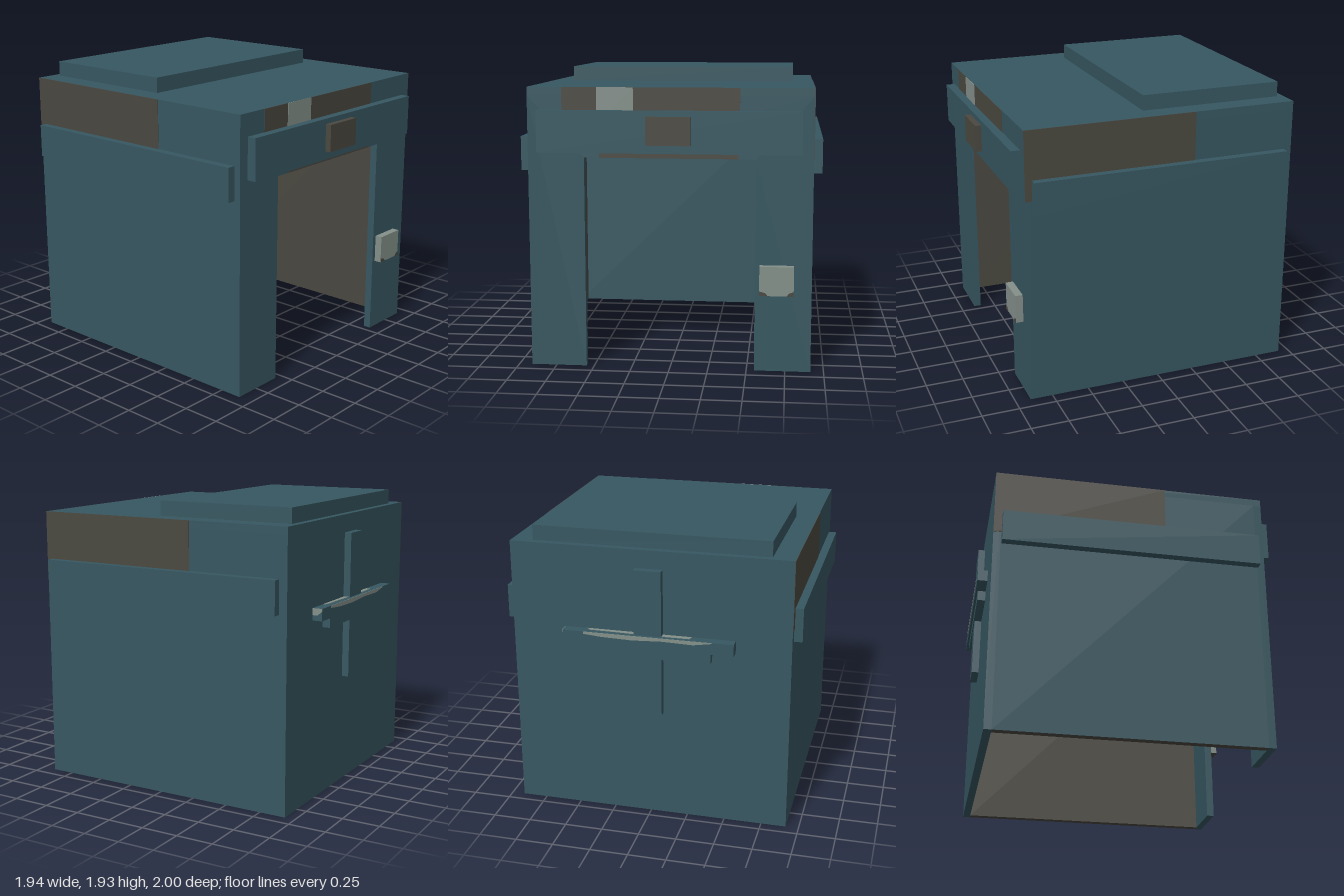
import * as THREE from 'three';

const mat = (name, color) => {
  const m = new THREE.MeshStandardMaterial({ color });
  m.name = name;
  return m;
};

export function createModel() {
  const teal = mat('teal', 0x375761);
  const brown = mat('brown', 0x4a4840);
  const pale = mat('pale grey', 0x84908a);
  const model = new THREE.Group();
  model.name = 'shelter';

  const add = (name, geometry, material, x = 0, y = 0, z = 0) => {
    const mesh = new THREE.Mesh(geometry, material);
    mesh.name = name;
    mesh.position.set(x, y, z);
    model.add(mesh);
    return mesh;
  };
  // Box given by its lower and upper limits on each axis
  const box = (name, material, [x0, x1], [y0, y1], [z0, z1]) =>
    add(name, new THREE.BoxGeometry(x1 - x0, y1 - y0, z1 - z0), material,
      (x0 + x1) / 2, (y0 + y1) / 2, (z0 + z1) / 2);
  // Flat outline pushed out along z
  const plate = (name, material, points, depth, z) =>
    add(name, new THREE.ExtrudeGeometry(
      new THREE.Shape(points.map(([x, y]) => new THREE.Vector2(x, y))),
      { depth, bevelEnabled: false }), material, 0, 0, z);

  const W = 0.915, H = 1.83, F = 0.9, B = -0.93, T = 0.05, P = 0.003;

  // Hollow shell, open below and at the doorway
  plate('frontWall', teal, [[-W, 0], [-0.55, 0], [-0.55, 1.38], [0.55, 1.38],
    [0.55, 0], [W, 0], [W, H - T], [-W, H - T]], T, F - T);
  box('backWall', teal, [-W, W], [0, H - T], [B, B + T]);
  box('roof', teal, [-W, W], [H - T, H], [B, F]);
  box('leftWall', [teal, brown, teal, brown, teal, teal], [W - T, W], [0, H - T], [B + T, F - T]);
  box('rightWall', [brown, teal, teal, brown, teal, teal], [-W, T - W], [0, H - T], [B + T, F - T]);
  box('roofSlab', teal, [-0.77, 0.775], [H, 1.93], [-0.885, 0.07]);

  // Painted bands under the roof
  box('leftBand', brown, [W, W + P], [1.375, H], [-0.235, F]);
  box('rightBand', brown, [-W - P, -W], [1.375, H], [B, 0.22]);
  plate('frontBand', brown, [[-0.45, 1.38], [0.44, 1.38], [0.45, H], [-0.69, H],
    [-0.69, 1.6], [-0.45, 1.6]], P, F);
  box('frontBandPatch', pale, [-0.465, -0.23], [1.6, H], [F, F + 2 * P]);

  // Rails round the front and sides
  for (const s of [-1, 1]) {
    const x = [s * W, s * 0.97].sort((a, b) => a - b);
    box(s > 0 ? 'leftRail' : 'rightRail', teal, x, [1.29, 1.51], [-0.875, 0.855]);
  }
  box('frontRail', teal, [-0.845, 0.84], [1.415, 1.685], [F, 0.96]);
  box('frontBadge', brown, [-0.14, 0.14], [1.47, 1.65], [0.96, 1]);

  // Box beside the doorway with dark lower corners
  box('doorBox', [pale, pale, pale, brown, pale, pale], [0.58, 0.8], [0.51, 0.7], [F, 0.95]);
  for (const [x, s, r] of [[0.58, 1, 0.055], [0.8, -1, 0.045]]) {
    const pts = [[x, 0.51], [x + s * r, 0.51], [x + s * r * 0.65, 0.53], [x, 0.54]];
    plate('doorBoxCorner', brown, pts, P, 0.95);
  }

  // Cross-shaped fitting on the back
  box('backPost', teal, [-0.09, 0.09], [0.735, 1.71], [-0.977, B]);
  box('backShelf', teal, [-0.56, 0.56], [1.2, 1.28], [-0.997, B]);
  box('backLowerBar', teal, [-0.41, 0.41], [1.13, 1.2], [-0.983, B]);

  // Worn paint on the shelf: top, back edge and left end
  const top = plate('shelfTopWear', pale, [[-0.28, 0.935], [0.41, 0.935], [0.39, 0.957],
    [0.2, 0.962], [0.05, 0.97], [-0.27, 0.967]], P, 0);
  top.rotation.x = -Math.PI / 2;
  top.position.y = 1.28;
  plate('shelfBackWear', pale, [[-0.42, 1.275], [-0.3, 1.255], [-0.1, 1.26], [0.1, 1.25],
    [0.3, 1.255], [0.42, 1.265], [0.42, 1.28], [-0.42, 1.28]], P, -1);
  const end = plate('shelfEndWear', pale, [[0.93, 1.235], [0.965, 1.235], [0.997, 1.262],
    [0.997, 1.28], [0.93, 1.28]], P, 0);
  end.rotation.y = Math.PI / 2;
  end.position.x = 0.56;

  return model;
}
